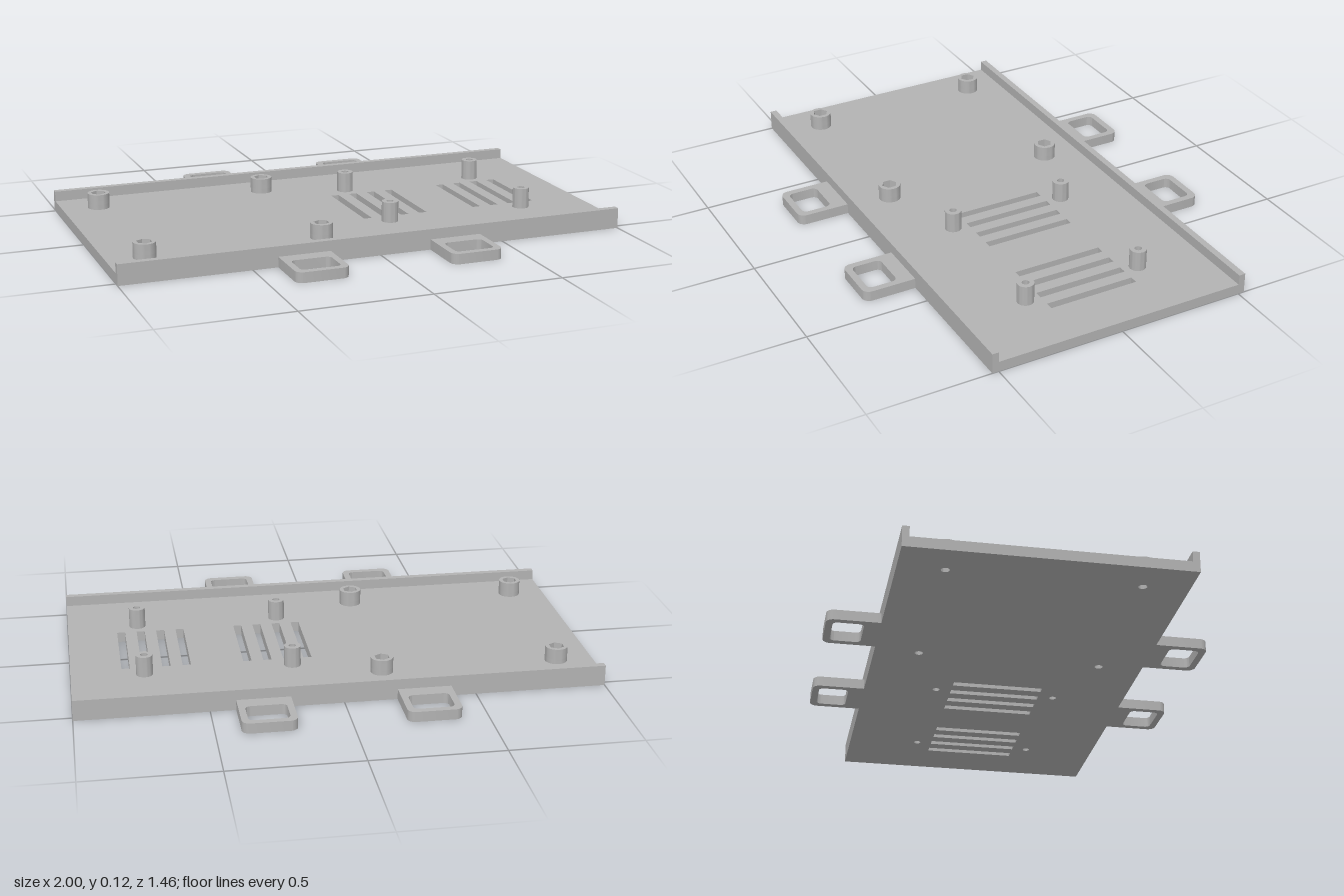
import * as THREE from 'three';
import { toCreasedNormals } from 'three/addons/utils/BufferGeometryUtils.js';

const BASE = 0.04;    // plate thickness
const HALF_Z = 0.525; // plate half depth

// Closed outlines drawn in plan, with shape y = -z
function rect(Type, x0, y0, x1, y1) {
  const p = new Type();
  p.moveTo(x0, y0); p.lineTo(x1, y0); p.lineTo(x1, y1); p.lineTo(x0, y1); p.closePath();
  return p;
}

function circle(Type, x, y, r) {
  const p = new Type();
  p.absarc(x, y, r, 0, Math.PI * 2, false);
  return p;
}

function hexagon(r) {
  const p = new THREE.Path();
  for (let i = 0; i < 6; i++) {
    const a = (i + 0.5) * Math.PI / 3;
    p[i ? 'lineTo' : 'moveTo'](r * Math.cos(a), r * Math.sin(a));
  }
  p.closePath();
  return p;
}

// Rectangle with rounded far corners, and optionally rounded near ones
function rounded(Type, x0, y0, x1, y1, r, rNear) {
  const p = new Type();
  p.moveTo(x0 + rNear, y0);
  p.lineTo(x1 - rNear, y0);
  if (rNear) p.absarc(x1 - rNear, y0 + rNear, rNear, -Math.PI / 2, 0, false);
  p.lineTo(x1, y1 - r);
  p.absarc(x1 - r, y1 - r, r, 0, Math.PI / 2, false);
  p.lineTo(x0 + r, y1);
  p.absarc(x0 + r, y1 - r, r, Math.PI / 2, Math.PI, false);
  p.lineTo(x0, y0 + rNear);
  if (rNear) p.absarc(x0 + rNear, y0 + rNear, rNear, Math.PI, Math.PI * 1.5, false);
  return p;
}

// Extrude a plan shape upwards from y0 to y1
function slab(shape, y0, y1) {
  const g = new THREE.ExtrudeGeometry(shape, { depth: y1 - y0, bevelEnabled: false, curveSegments: 16 });
  g.rotateX(-Math.PI / 2).translate(0, y0, 0);
  return toCreasedNormals(g, 0.6);
}

function ring(r, hole, y0, y1) {
  const s = circle(THREE.Shape, 0, 0, r);
  s.holes.push(hole);
  return slab(s, y0, y1);
}

export function createModel() {
  const model = new THREE.Group();
  model.name = 'mountingTray';
  const grey = new THREE.MeshStandardMaterial({ color: 0xb3b3b3 });
  grey.name = 'grey';

  const add = (name, geometry, x = 0, z = 0, parent = model) => {
    const m = new THREE.Mesh(geometry, grey);
    m.name = name;
    m.position.set(x, 0, z);
    parent.add(m);
    return m;
  };

  const widePosts = [], slimPosts = [];
  for (const s of [-1, 1]) {
    for (const x of [-0.856, -0.172]) widePosts.push([x, s * 0.354]);
    for (const x of [0.155, 0.721]) slimPosts.push([x, s * 0.239]);
  }

  // Base plate with vent slots and screw holes
  const plate = rect(THREE.Shape, -1, -HALF_Z, 1, HALF_Z);
  for (const start of [0.072, 0.54]) {
    for (let i = 0; i < 4; i++) {
      const x = start + i * 0.078;
      plate.holes.push(rect(THREE.Path, x, -0.179, x + 0.032, 0.179));
    }
  }
  for (const [x, z] of widePosts) plate.holes.push(circle(THREE.Path, x, -z, 0.016));
  for (const [x, z] of slimPosts) plate.holes.push(circle(THREE.Path, x, -z, 0.014));
  add('basePlate', slab(plate, 0, BASE));

  // Rails along the front and back edges
  const railGeo = new THREE.BoxGeometry(2, 0.04, 0.026).translate(0, BASE + 0.02, 0);
  for (const s of [-1, 1]) add(s > 0 ? 'frontRail' : 'backRail', railGeo, 0, s * (HALF_Z - 0.013));

  // Strap loops reaching out from both long edges
  const loop = rounded(THREE.Shape, -0.102, 0, 0.102, 0.203, 0.03, 0);
  loop.holes.push(rounded(THREE.Path, -0.077, 0.06, 0.077, 0.177, 0.02, 0.02));
  const loopGeo = slab(loop, 0, BASE);
  for (const s of [-1, 1]) {
    for (const x of [-0.302, 0.302]) {
      const m = add(s > 0 ? 'frontStrapLoop' : 'backStrapLoop', loopGeo, x, s * HALF_Z);
      if (s > 0) m.rotation.y = Math.PI;
    }
  }

  // Wide posts with a hexagonal nut pocket
  const seat = 0.06;
  const lowerGeo = ring(0.043, circle(THREE.Path, 0, 0, 0.016), BASE, seat);
  const upperGeo = ring(0.043, hexagon(0.03), seat, 0.1);
  for (const [x, z] of widePosts) {
    const post = new THREE.Group();
    post.name = 'nutPost';
    post.position.set(x, 0, z);
    add('postFoot', lowerGeo, 0, 0, post);
    add('nutPocket', upperGeo, 0, 0, post);
    model.add(post);
  }

  // Slim standoffs
  const slimGeo = ring(0.032, circle(THREE.Path, 0, 0, 0.014), BASE, 0.12);
  for (const [x, z] of slimPosts) add('standoff', slimGeo, x, z);

  return model;
}
